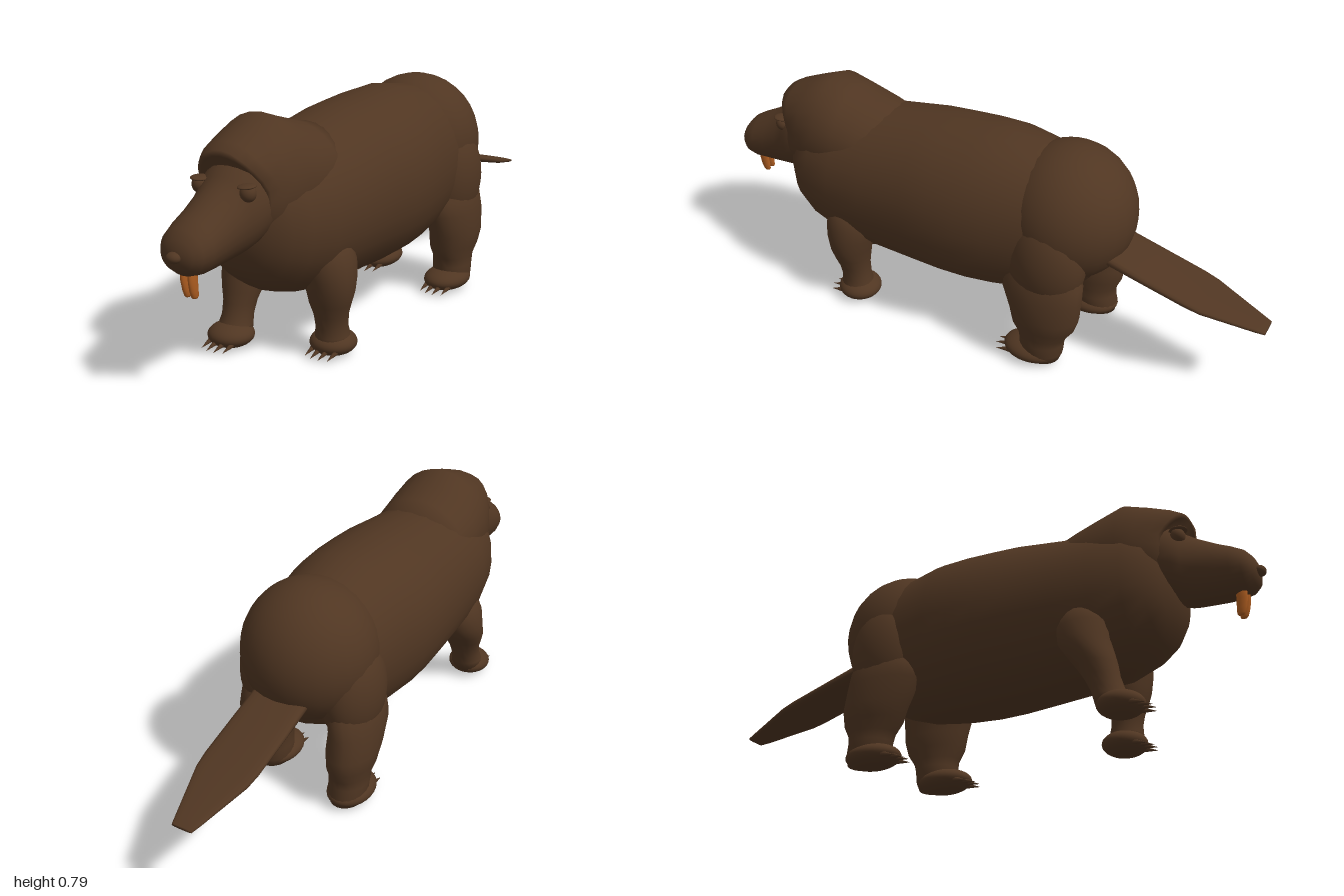
import * as THREE from 'three';

const fur = new THREE.MeshStandardMaterial({ color: 0x503622 });
fur.name = 'brown fur';
const enamel = new THREE.MeshStandardMaterial({ color: 0xac5c20 });
enamel.name = 'orange enamel';

// Smooth skin over oval sections [t, x, y, rx, ry] stacked along +z; power < 1 squares the ovals
function loft(sections, sides = 24, power = 1) {
  const pos = [], index = [], n = sections.length;
  const round = v => Math.sign(v) * Math.abs(v) ** power;
  for (const [t, x, y, rx, ry] of sections) {
    for (let j = 0; j < sides; j++) {
      const a = (j / sides) * Math.PI * 2;
      pos.push(x + rx * round(Math.cos(a)), y + ry * round(Math.sin(a)), t);
    }
  }
  for (let k = 0; k < n - 1; k++) {
    for (let j = 0; j < sides; j++) {
      const a = k * sides + j, b = k * sides + (j + 1) % sides;
      index.push(a, b, a + sides, b, b + sides, a + sides);
    }
  }
  // end caps
  for (const k of [0, n - 1]) {
    const [t, x, y] = sections[k], c = pos.length / 3;
    pos.push(x, y, t);
    for (let j = 0; j < sides; j++) {
      const a = k * sides + j, b = k * sides + (j + 1) % sides;
      if (k) index.push(c, a, b); else index.push(c, b, a);
    }
  }
  const g = new THREE.BufferGeometry();
  g.setAttribute('position', new THREE.Float32BufferAttribute(pos, 3));
  g.setIndex(index);
  g.computeVertexNormals();
  return g;
}

// Sections given as [z, top, bottom, halfWidth]
const alongZ = (rows, sides, power) =>
  loft(rows.map(([z, top, bot, rx]) => [z, 0, (top + bot) / 2, rx, (top - bot) / 2]), sides, power);

// Sections given as [y, x, z, rx, rz], standing upright
const alongY = rows => loft(rows.map(([y, x, z, rx, rz]) => [y, x, -z, rx, rz]), 20).rotateX(-Math.PI / 2);

function add(parent, name, geometry, material = fur) {
  const mesh = new THREE.Mesh(geometry, material);
  mesh.name = name;
  parent.add(mesh);
  return mesh;
}

const ellipsoid = (rx, ry, rz, x, y, z) =>
  new THREE.SphereGeometry(1, 28, 18).scale(rx, ry, rz).translate(x, y, z);

// Leg with a padded foot and four claws; the stride slides the foot along z
function addLeg(parent, name, side, rows, foot, stride, knee) {
  const leg = new THREE.Group();
  leg.name = name;
  const slid = rows.map(([y, x, z, rx, rz]) => [y, x * side, z + stride * Math.max(0, 1 - y / knee), rx, rz]);
  add(leg, 'limb', alongY(slid));
  const fx = foot.x * side, fz = foot.z + stride;
  add(leg, 'foot', ellipsoid(foot.rx, 0.04, foot.rz, fx, 0.042, fz));
  for (let i = 0; i < 4; i++) {
    const dx = (i - 1.5) * 0.028;
    const edge = foot.rz * Math.sqrt(1 - (dx / foot.rx) ** 2);
    const claw = add(leg, 'claw', new THREE.ConeGeometry(0.01, 0.055, 8).rotateX(Math.PI / 2 + 0.25));
    claw.position.set(fx + dx, 0.023, fz + edge + 0.008);
  }
  parent.add(leg);
}

export function createModel() {
  const model = new THREE.Group();
  model.name = 'rodent';

  // Trunk and rump
  add(model, 'body', alongZ([
    [-0.45, 0.58, 0.36, 0.1], [-0.4, 0.65, 0.29, 0.16], [-0.32, 0.71, 0.24, 0.2], [-0.22, 0.735, 0.205, 0.222],
    [-0.1, 0.755, 0.185, 0.243], [0, 0.752, 0.178, 0.255], [0.1, 0.745, 0.178, 0.257], [0.2, 0.738, 0.182, 0.251],
    [0.37, 0.712, 0.19, 0.238], [0.5, 0.7, 0.2, 0.227], [0.6, 0.685, 0.233, 0.205], [0.66, 0.655, 0.273, 0.175],
    [0.7, 0.615, 0.322, 0.13], [0.725, 0.55, 0.385, 0.075], [0.732, 0.48, 0.45, 0.02],
  ], 28, 0.97));
  add(model, 'rump', ellipsoid(0.225, 0.235, 0.225, 0, 0.52, -0.304));

  // Crown with an overhanging brow; the front leans back below the brow
  const crown = alongZ([
    [0.34, 0.712, 0.45, 0.15], [0.42, 0.732, 0.42, 0.178], [0.5, 0.758, 0.4, 0.185], [0.58, 0.787, 0.385, 0.182],
    [0.66, 0.757, 0.39, 0.17], [0.73, 0.728, 0.4, 0.152], [0.765, 0.708, 0.415, 0.135],
    [0.768, 0.692, 0.43, 0.122], [0.752, 0.672, 0.46, 0.1],
  ], 28);
  const p = crown.attributes.position;
  for (let i = 0; i < p.count; i++) {
    const front = THREE.MathUtils.clamp((p.getZ(i) - 0.58) / 0.16, 0, 1);
    p.setZ(i, p.getZ(i) - front * THREE.MathUtils.clamp((0.69 - p.getY(i)) * 0.6, 0, 0.055));
  }
  crown.computeVertexNormals();
  add(model, 'crown', crown);

  // Face and tapering snout
  add(model, 'snout', alongZ([
    [0.64, 0.685, 0.425, 0.135], [0.7, 0.675, 0.41, 0.135], [0.74, 0.655, 0.396, 0.125], [0.765, 0.632, 0.39, 0.113],
    [0.8, 0.608, 0.385, 0.101], [0.86, 0.573, 0.38, 0.092], [0.91, 0.547, 0.379, 0.089], [0.945, 0.526, 0.386, 0.08],
    [0.967, 0.5, 0.403, 0.06], [0.978, 0.475, 0.43, 0.03],
  ]));
  add(model, 'nose', ellipsoid(0.024, 0.017, 0.02, 0, 0.45, 0.98));

  for (const s of [1, -1]) {
    // Eyes with flat lids
    add(model, 'eye', ellipsoid(0.025, 0.026, 0.024, 0.089 * s, 0.594, 0.758));
    const lid = add(model, 'eyelid', ellipsoid(0.027, 0.007, 0.03, 0, 0, 0));
    lid.position.set(0.087 * s, 0.615, 0.76);
    lid.rotation.z = 0.05 * s;
    // Flattened incisors
    add(model, 'incisor', alongY([
      [0.312, 0.013 * s, 0.913, 0.006, 0.009], [0.318, 0.013 * s, 0.914, 0.009, 0.013],
      [0.335, 0.013 * s, 0.917, 0.0105, 0.016], [0.365, 0.014 * s, 0.921, 0.0105, 0.018],
      [0.41, 0.014 * s, 0.921, 0.0105, 0.018],
    ]), enamel);
    // Haunch
    add(model, 'haunch', ellipsoid(0.1, 0.18, 0.135, 0.15 * s, 0.41, -0.295));
  }

  // Legs in a walking stride
  const foreRows = [
    [0.035, 0.155, 0.44, 0.062, 0.062], [0.07, 0.155, 0.442, 0.055, 0.056], [0.1, 0.155, 0.445, 0.051, 0.052],
    [0.14, 0.156, 0.45, 0.055, 0.055], [0.18, 0.157, 0.455, 0.068, 0.064], [0.22, 0.16, 0.457, 0.078, 0.073],
    [0.27, 0.162, 0.455, 0.079, 0.083], [0.32, 0.157, 0.452, 0.078, 0.088], [0.38, 0.147, 0.45, 0.066, 0.075],
  ];
  const hindRows = [
    [0.02, 0.165, -0.292, 0.055, 0.066], [0.05, 0.165, -0.293, 0.064, 0.076], [0.09, 0.165, -0.294, 0.066, 0.078],
    [0.12, 0.166, -0.296, 0.065, 0.085], [0.16, 0.168, -0.298, 0.075, 0.11], [0.21, 0.171, -0.302, 0.081, 0.122],
    [0.29, 0.171, -0.292, 0.079, 0.139], [0.34, 0.163, -0.292, 0.077, 0.138], [0.44, 0.15, -0.295, 0.055, 0.1],
  ];
  const foreFoot = { x: 0.153, z: 0.435, rx: 0.076, rz: 0.075 };
  const hindFoot = { x: 0.165, z: -0.26, rx: 0.076, rz: 0.1 };
  addLeg(model, 'leftForeleg', 1, foreRows, foreFoot, 0, 0.26);
  addLeg(model, 'rightForeleg', -1, foreRows, foreFoot, 0.13, 0.26);
  addLeg(model, 'leftHindLeg', 1, hindRows, hindFoot, 0, 0.3);
  addLeg(model, 'rightHindLeg', -1, hindRows, hindFoot, -0.07, 0.3);

  // Flat paddle tail
  add(model, 'tail', alongZ([
    [-1, 0.29, 0.28, 0.036], [-0.97, 0.3, 0.284, 0.045], [-0.8, 0.349, 0.324, 0.095], [-0.75, 0.364, 0.337, 0.1],
    [-0.6, 0.408, 0.376, 0.1], [-0.45, 0.455, 0.413, 0.098],
  ], 20, 0.6));

  return model;
}
